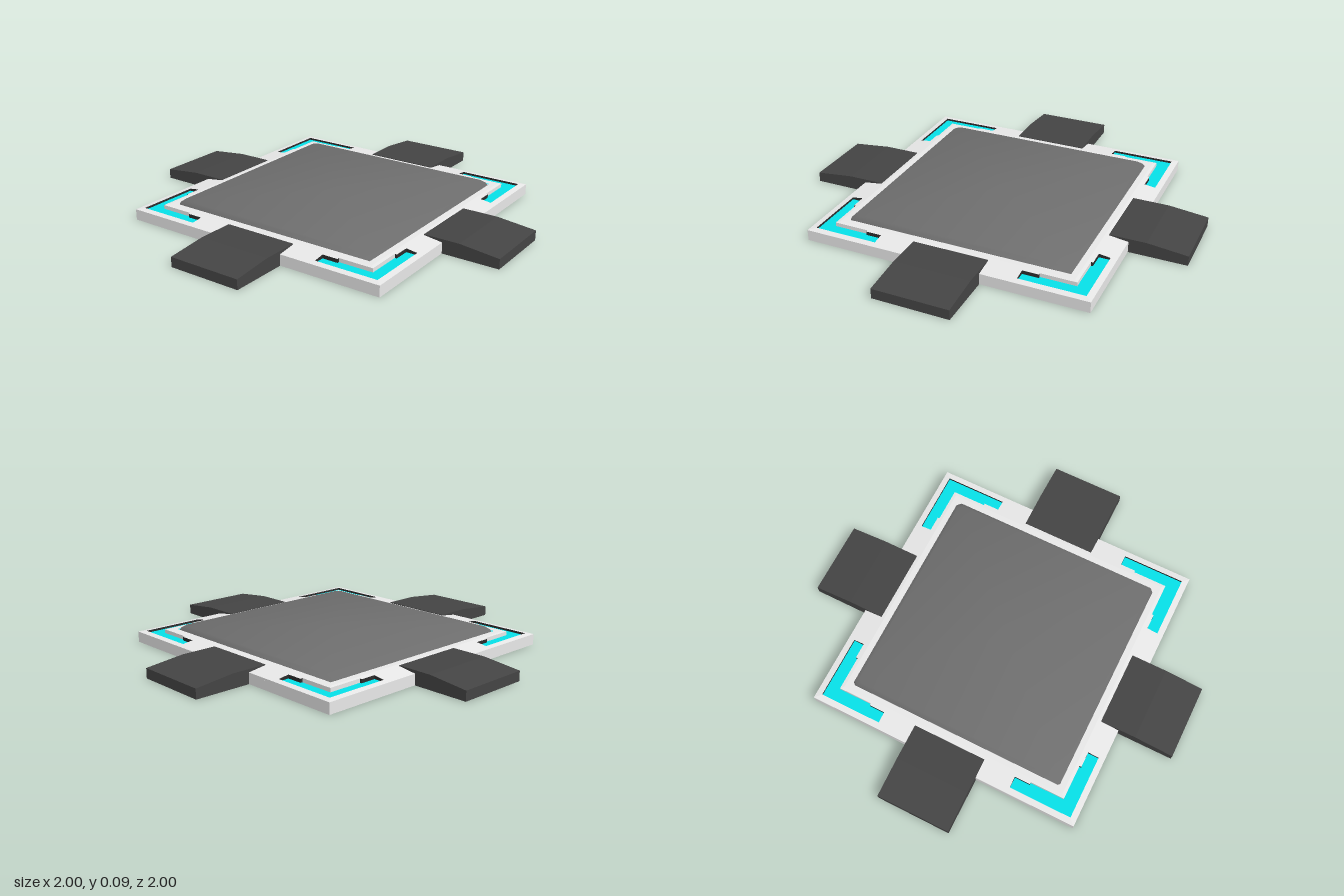
import * as THREE from 'three';

const mat = (name, color) => {
  const m = new THREE.MeshStandardMaterial({ color });
  m.name = name;
  return m;
};

// Height of the sloping rim at a distance from the centre line
const OUT = 0.713, IN = 0.6;
const rimY = (d) => 0.055 + 0.015 * Math.min(1, (OUT - d) / (OUT - IN));

// Flat polygon given as [x, z] pairs, facing up, with y set by a rule
function plate(points, yRule) {
  const shape = new THREE.Shape(points.map(([x, z]) => new THREE.Vector2(x, -z)));
  const g = new THREE.ShapeGeometry(shape).rotateX(-Math.PI / 2);
  const p = g.attributes.position;
  for (let i = 0; i < p.count; i++) p.setY(i, yRule(p.getX(i), p.getZ(i)));
  g.computeVertexNormals();
  return g;
}

// Vertical walls following an open path from a floor to the rim surface
function walls(path, floor) {
  const pos = [];
  for (let i = 0; i < path.length - 1; i++) {
    const [x, z] = path[i], [u, w] = path[i + 1];
    const a = rimY(Math.max(x, z)), b = rimY(Math.max(u, w));
    pos.push(x, floor, z, u, floor, w, u, b, w, x, floor, z, u, b, w, x, a, z);
  }
  const g = new THREE.BufferGeometry();
  g.setAttribute('position', new THREE.Float32BufferAttribute(pos, 3));
  g.computeVertexNormals();
  return g;
}

// Softly domed panel lofted from chamfered square rings
function panelGeometry() {
  const rings = [[0.574, 0.055, 2.5], [0.568, 0.074, 0.85], [0.548, 0.09, 0.42]];
  const pos = [], nor = [], idx = [];
  const add = (x, y, z, k) => {
    const n = new THREE.Vector3(x * k, 1, z * k).normalize();
    pos.push(x, y, z);
    nor.push(n.x, n.y, n.z);
  };
  for (const [h, y, k] of rings) {
    const c = h - 0.02;
    [[h, -c], [c, -h], [-c, -h], [-h, -c], [-h, c], [-c, h], [c, h], [h, c]]
      .forEach(([x, z]) => add(x, y, z, k));
  }
  add(0, 0.09, 0, 0);
  for (let i = 0; i < 8; i++) {
    const j = (i + 1) % 8;
    for (let r = 0; r < 2; r++) {
      const a = r * 8 + i, b = r * 8 + j;
      idx.push(a, b, b + 8, a, b + 8, a + 8);
    }
    idx.push(16 + i, 16 + j, 24);
  }
  const g = new THREE.BufferGeometry();
  g.setAttribute('position', new THREE.Float32BufferAttribute(pos, 3));
  g.setAttribute('normal', new THREE.Float32BufferAttribute(nor, 3));
  g.setIndex(idx);
  return g;
}

export function createModel() {
  const light = mat('light grey frame', 0xe8e8e8);
  const dark = mat('dark grey clamp', 0x444444);
  const grey = mat('mid grey panel', 0x6e6e6e);
  const cyan = mat('cyan light', 0x06e4ec);
  const shadow = mat('dark recess', 0x2c2c2c);

  const model = new THREE.Group();
  model.name = 'floorTile';
  const mesh = (name, geo, material, parent) => {
    const m = new THREE.Mesh(geo, material);
    m.name = name;
    parent.add(m);
  };

  // Base slab and central panel
  mesh('baseSlab', new THREE.BoxGeometry(2 * OUT, 0.044, 2 * OUT).translate(0, 0.022, 0), light, model);
  mesh('centrePanel', panelGeometry(), grey, model);

  // One rim side, notched at both ends for the corner recesses
  const half = [[OUT, OUT], [0.682, 0.682], [0.36, 0.682], [0.36, 0.626], [0.44, 0.626],
    [0.44, 0.616], [0.616, 0.616], [IN, IN]];
  const rim = plate([...half, ...half.map(([x, z]) => [-x, z]).reverse()], (x, z) => rimY(z));
  const lip = plate([[IN, IN], [0.57, 0.57], [-0.57, 0.57], [-IN, IN]], () => 0.07);
  const edge = new THREE.PlaneGeometry(2 * OUT, 0.011).translate(0, 0.0495, OUT);

  // L-shaped recess: lit floor, pale inner wall, dark walls elsewhere
  const innerPath = [[0.44, 0.616], [0.616, 0.616], [0.616, 0.44]];
  const outerPath = [[0.616, 0.44], [0.626, 0.44], [0.626, 0.36], [0.682, 0.36], [0.682, 0.682],
    [0.36, 0.682], [0.36, 0.626], [0.44, 0.626], [0.44, 0.616]];
  const lightStrip = plate([...outerPath, [0.616, 0.616]], () => 0.048);
  const innerWall = walls(innerPath, 0.044);
  const outerWall = walls(outerPath, 0.044);

  // Wedge-ended clamp that hooks over the rim, profile along its length
  const profile = new THREE.Shape([[0.617, 0.046], [OUT, 0.046], [OUT, 0], [1, 0], [1, 0.05], [0.8, 0.071], [0.617, 0.071]]
    .map(([x, y]) => new THREE.Vector2(x, y)));
  const clamp = new THREE.ExtrudeGeometry(profile, { depth: 0.382, bevelEnabled: false })
    .translate(0, 0, -0.191).rotateY(-Math.PI / 2);

  // Repeat side, corner and clamp four times
  for (let i = 0; i < 4; i++) {
    const side = new THREE.Group();
    side.name = 'side' + (i + 1);
    side.rotation.y = (i * Math.PI) / 2;
    mesh('rim', rim, light, side);
    mesh('rimLip', lip, light, side);
    mesh('rimEdge', edge, light, side);
    mesh('recessInnerWall', innerWall, light, side);
    mesh('recessOuterWall', outerWall, shadow, side);
    mesh('cornerLight', lightStrip, cyan, side);
    mesh('clamp', clamp, dark, side);
    model.add(side);
  }
  return model;
}
